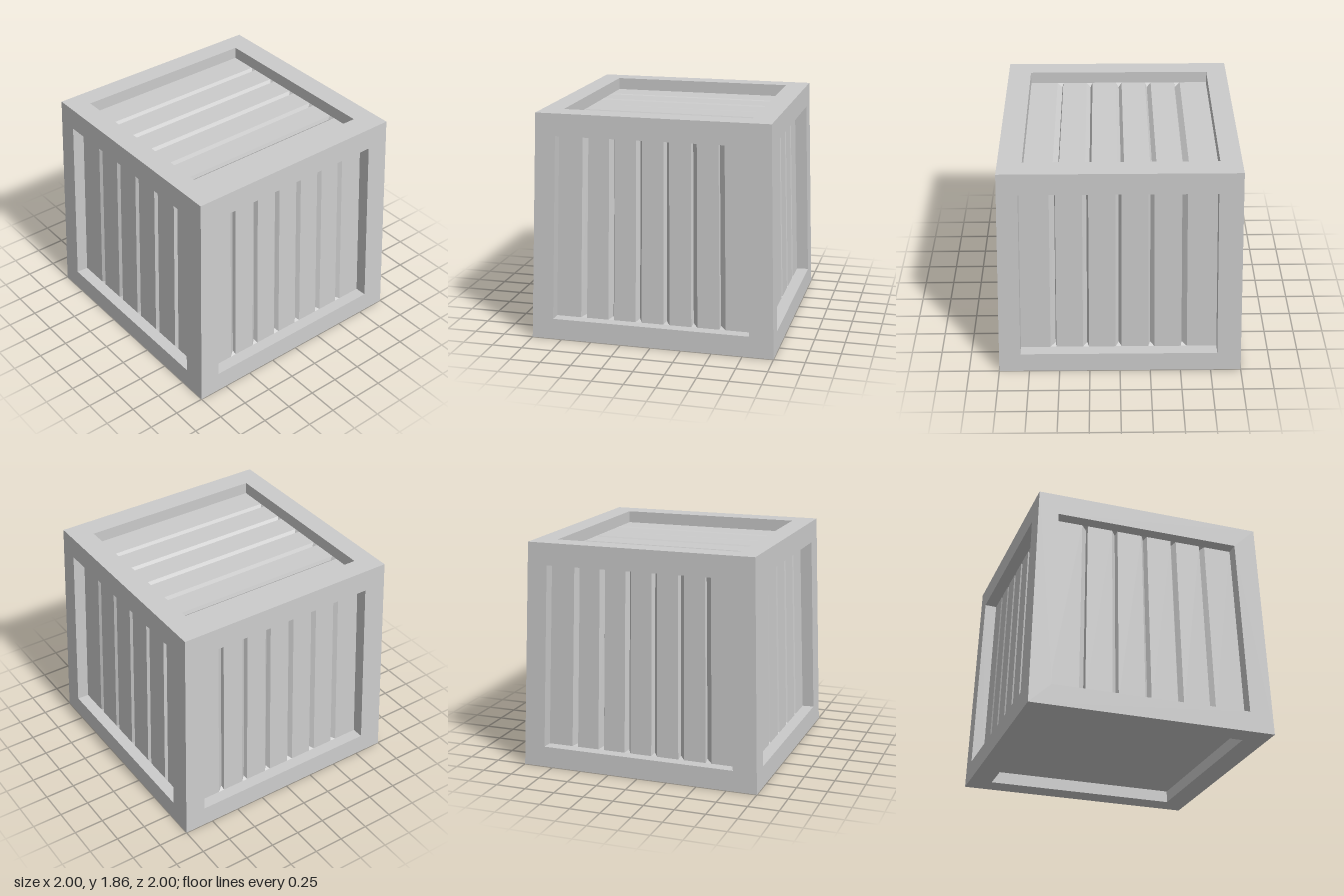
import * as THREE from 'three';

const BASE = 1, TOP = 0.94, HEIGHT = 1.86; // half widths and height of the tapered crate
const RECESS = 0.1, GROOVE = 0.05;         // panel recess and groove width

const material = new THREE.MeshStandardMaterial({ color: 0xcccccc, flatShading: true });
const v3 = (x, y, z) => new THREE.Vector3(x, y, z);

// Polygons with corners counter-clockwise from outside, as a flat-shaded mesh
function polyMesh(name, polys) {
  const points = [];
  for (const p of polys) {
    for (let i = 2; i < p.length; i++) points.push(p[0], p[i - 1], p[i]);
  }
  const geometry = new THREE.BufferGeometry().setFromPoints(points);
  geometry.computeVertexNormals();
  const mesh = new THREE.Mesh(geometry, material);
  mesh.name = name;
  return mesh;
}

// One crate face: flat frame, recess walls and a panel of planks with V grooves.
// Corners run bottom left, bottom right, top right, top left.
function crateFace(name, outer, inner, planks) {
  const normal = outer[1].clone().sub(outer[0])
    .cross(outer[3].clone().sub(outer[0])).normalize();
  const back = inner.map((p) => p.clone().addScaledVector(normal, -RECESS));

  const frame = [];
  for (let i = 0; i < 4; i++) {
    const j = (i + 1) % 4;
    frame.push([outer[i], outer[j], inner[j], inner[i]]);
    frame.push([inner[i], inner[j], back[j], back[i]]);
  }

  const low = (t) => back[0].clone().lerp(back[1], t);
  const high = (t) => back[3].clone().lerp(back[2], t);
  const centre = low(0.5).lerp(high(0.5), 0.5);
  const half = GROOVE / 2 / back[0].distanceTo(back[1]);
  // Groove bottoms lean towards the middle of the crate
  const sink = (p) => p.lerp(centre, 0.034).addScaledVector(normal, -0.03);

  const boards = [];
  for (let i = 0; i < planks; i++) {
    const a = i / planks + (i > 0 ? half : 0);
    const b = (i + 1) / planks - (i < planks - 1 ? half : 0);
    boards.push([low(a), low(b), high(b), high(a)]);
    if (i === planks - 1) break;
    const t = (i + 1) / planks, c = t + half;
    const bottom = sink(low(t)), top = sink(high(t));
    boards.push([low(b), bottom, top, high(b)]);
    boards.push([bottom, low(c), high(c), top]);
    boards.push([low(b), low(c), bottom]);
    boards.push([high(c), high(b), top]);
  }

  const group = new THREE.Group();
  group.name = name;
  group.add(polyMesh(name + 'Frame', frame), polyMesh(name + 'Planks', boards));
  return group;
}

export function createModel() {
  const crate = new THREE.Group();
  crate.name = 'crate';

  // Four sloping sides, turned around the vertical axis
  const onSlope = (x, y) => v3(x, y, BASE + (TOP - BASE) * y / HEIGHT);
  const sideOuter = [onSlope(-BASE, 0), onSlope(BASE, 0), onSlope(TOP, HEIGHT), onSlope(-TOP, HEIGHT)];
  const sideInner = [onSlope(-0.82, 0.17), onSlope(0.8, 0.17), onSlope(0.755, 1.68), onSlope(-0.78, 1.68)];
  ['frontSide', 'leftSide', 'backSide', 'rightSide'].forEach((name, i) => {
    const side = crateFace(name, sideOuter, sideInner, i % 2 ? 7 : 6);
    side.rotation.y = i * Math.PI / 2;
    crate.add(side);
  });

  // Lid with planks running front to back
  const atTop = (x, z) => v3(x, HEIGHT, z);
  crate.add(crateFace('lid',
    [atTop(-TOP, TOP), atTop(TOP, TOP), atTop(TOP, -TOP), atTop(-TOP, -TOP)],
    [atTop(-0.77, 0.77), atTop(0.75, 0.77), atTop(0.75, -0.76), atTop(-0.77, -0.76)], 6));

  // Plain recessed underside
  const square = (s) => [v3(-s, 0, -s), v3(s, 0, -s), v3(s, 0, s), v3(-s, 0, s)];
  crate.add(crateFace('underside', square(BASE), square(0.81), 1));

  return crate;
}
